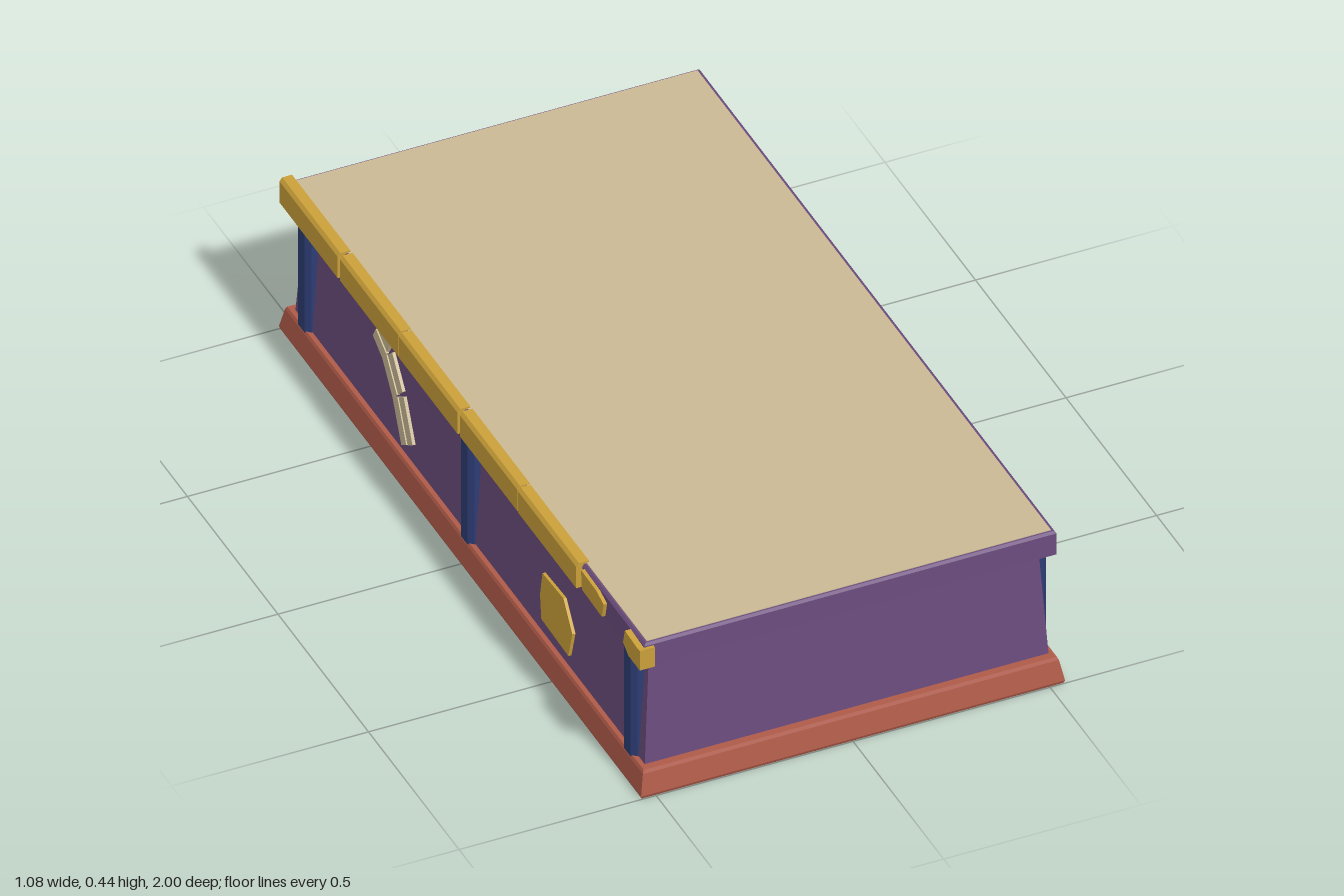
import * as THREE from 'three';

const mat = (name, color) => {
  const m = new THREE.MeshStandardMaterial({ color });
  m.name = name;
  return m;
};

// Closed solid from stacked rectangles: each layer is [y, halfX, halfZ]
function stackedBox(layers) {
  const pos = [];
  const rings = layers.map(([y, x, z]) => [[-x, y, z], [x, y, z], [x, y, -z], [-x, y, -z]]);
  const quad = (a, b, c, d) => pos.push(...a, ...b, ...c, ...a, ...c, ...d);
  for (let i = 0; i < rings.length - 1; i++) {
    const lo = rings[i], hi = rings[i + 1];
    for (let k = 0; k < 4; k++) {
      const n = (k + 1) % 4;
      quad(lo[k], lo[n], hi[n], hi[k]);
    }
  }
  const b = rings[0], t = rings[rings.length - 1];
  quad(b[3], b[2], b[1], b[0]);
  quad(t[0], t[1], t[2], t[3]);
  const g = new THREE.BufferGeometry();
  g.setAttribute('position', new THREE.Float32BufferAttribute(pos, 3));
  g.computeVertexNormals();
  return g;
}

function extrude(points, depth) {
  const shape = new THREE.Shape(points.map(([x, y]) => new THREE.Vector2(x, y)));
  return new THREE.ExtrudeGeometry(shape, { depth, bevelEnabled: false });
}

export function createModel() {
  const model = new THREE.Group();
  model.name = 'chest';
  const purple = mat('purple paint', 0x6b4c7d);
  const red = mat('red brown base', 0xae5a48);
  const navy = mat('navy pillar', 0x2d3d74);
  const tan = mat('tan panel', 0xc9b894);
  const gold = mat('gold trim', 0xcba03a);

  const add = (name, geo, material, parent = model) => {
    const mesh = new THREE.Mesh(geo, material);
    mesh.name = name;
    parent.add(mesh);
    return mesh;
  };
  const box = (name, material, parent, w, h, d, x, y, z) => {
    const mesh = add(name, new THREE.BoxGeometry(w, h, d), material, parent);
    mesh.position.set(x, y, z);
    return mesh;
  };

  // Plinth, tapered body, lid with a bevelled rim and its top panel
  add('base', stackedBox([[0, 0.535, 0.997], [0.008, 0.538, 1], [0.062, 0.528, 0.988], [0.07, 0.524, 0.984]]), red);
  add('body', stackedBox([[0.06, 0.513, 0.965], [0.37, 0.494, 0.947]]), purple);
  add('lid', stackedBox([[0.365, 0.523, 0.985], [0.425, 0.523, 0.985], [0.431, 0.517, 0.98]]), purple);
  box('topPanel', tan, model, 1.026, 0.003, 1.952, 0, 0.4315, 0);

  // Chamfered pillars along both long sides
  const pillarGeo = extrude([[0.48, -0.03], [0.515, -0.03], [0.527, -0.018], [0.527, 0.018], [0.515, 0.03], [0.48, 0.03]], 0.315);
  pillarGeo.rotateX(-Math.PI / 2);
  for (const turn of [0, Math.PI]) {
    for (const z of [-0.9, 0, 0.9]) {
      const pillar = add('pillar', pillarGeo, navy);
      pillar.rotation.y = turn;
      pillar.position.set(0, 0.065, z);
    }
  }

  // Segmented trim over the lid's right edge
  const rail = [[-0.538, 0.366], [-0.52, 0.366], [-0.52, 0.43], [-0.506, 0.43], [-0.506, 0.436], [-0.531, 0.436], [-0.538, 0.427]];
  const cuts = [-0.995, -0.665, -0.335, -0.003, 0.322, 0.652];
  for (let i = 0; i < 5; i++) {
    const segment = add('edgeTrim', extrude(rail, cuts[i + 1] - cuts[i] - 0.008), gold);
    segment.position.set(i % 2 ? 0.001 : -0.001, i % 2 ? -0.001 : 0.001, cuts[i]);
  }

  // Broken remnant of trim and the front corner bracket
  const remnant = add('trimRemnant', extrude([[0.66, 0.372], [0.77, 0.368], [0.78, 0.41], [0.74, 0.422], [0.655, 0.425]], 0.009), gold);
  remnant.rotation.y = -Math.PI / 2;
  remnant.position.x = -0.523;
  const bracket = add('cornerBracketSide', extrude([[0.9, 0.385], [0.93, 0.366], [0.992, 0.366], [0.992, 0.42], [0.91, 0.425]], 0.015), gold);
  bracket.rotation.y = -Math.PI / 2;
  bracket.position.x = -0.523;
  box('cornerBracketFront', gold, model, 0.038, 0.056, 0.009, -0.519, 0.394, 0.9885);

  // Details lying on the sloped right wall: local x runs forward, y up
  const wall = new THREE.Group();
  wall.name = 'rightWallDetails';
  wall.position.set(-0.513, 0.06, 0);
  wall.rotation.z = -0.061;
  const face = new THREE.Group();
  face.name = 'wallFace';
  face.rotation.y = -Math.PI / 2;
  wall.add(face);
  model.add(wall);

  add('patch', extrude([[0.405, 0.05], [0.555, 0.045], [0.568, 0.115], [0.51, 0.178], [0.395, 0.173], [0.39, 0.11]], 0.008), gold, face);

  // Bent strap made of paired slats
  const path = [[-0.535, 0.25], [-0.47, 0.217], [-0.40, 0.145], [-0.335, 0.045]];
  for (let i = 0; i < 3; i++) {
    const [ax, ay] = path[i], [bx, by] = path[i + 1];
    const angle = Math.atan2(by - ay, bx - ax);
    const length = Math.hypot(bx - ax, by - ay) - 0.006;
    for (const side of [-1, 1]) {
      const off = side * 0.019;
      const slat = box('strapSlat', tan, face, length, 0.03, 0.008,
        (ax + bx) / 2 - Math.sin(angle) * off, (ay + by) / 2 + Math.cos(angle) * off, 0.004);
      slat.rotation.z = angle;
    }
  }
  return model;
}
